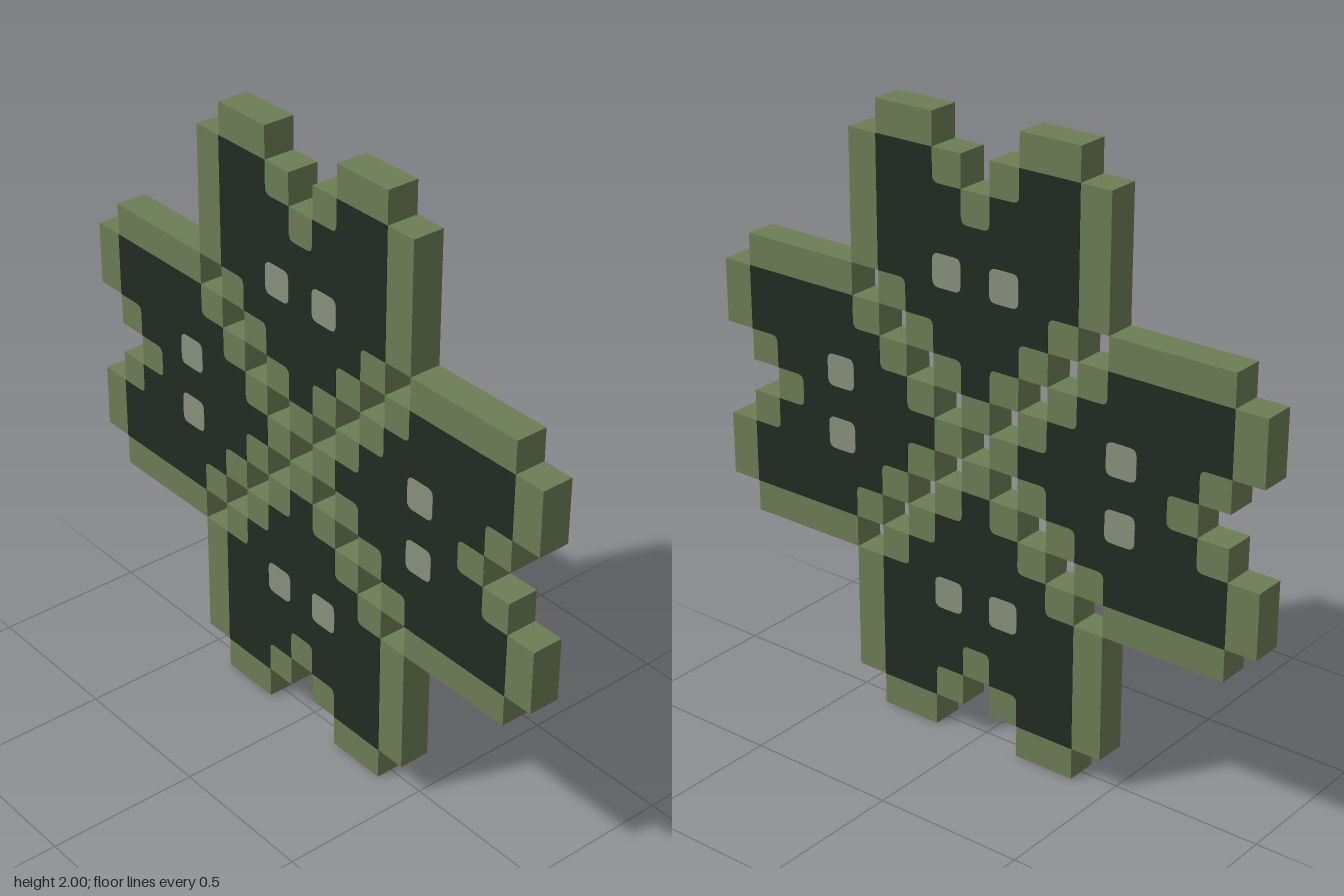
import * as THREE from 'three';

const CELL = 2 / 19; // the design sits on a 19 x 19 grid of square cells
const R = 0.22;      // softened inner corners, in cells

const mat = (name, color) => Object.assign(new THREE.MeshStandardMaterial({ color }), { name });

// Half outlines in cells (right side, bottom to top); a third value rounds that corner
const BODY = [
  [0.5, 0.5], [0.5, 1.5], [1.5, 1.5], [1.5, 2.5], [2.5, 2.5], [2.5, 3.5], [3.5, 3.5], [3.5, 4.5],
  [4.5, 4.5], [4.5, 8.5], [3.5, 8.5], [3.5, 9.5], [1.5, 9.5], [1.5, 8.5], [0.5, 8.5], [0.5, 7.5],
];
const INNER = [
  [0.5, 1.5], [0.5, 2.5, R], [1.5, 2.5], [1.5, 3.5, R], [2.5, 3.5], [2.5, 4.5, R], [3.5, 4.5],
  [3.5, 8.5], [1.5, 8.5], [1.5, 7.5, R], [0.5, 7.5], [0.5, 6.5, R],
];
const SPOT = [[0.5, 4.5, R], [1.5, 4.5, R], [1.5, 5.5, R], [0.5, 5.5, R]];

const mirror = (pts) => pts.map(([x, y, r]) => [-x, y, r]).reverse();

// Closed shape from corner points, rounding the flagged corners
function outline(pts) {
  const shape = new THREE.Shape();
  const v = pts.map(([x, y]) => new THREE.Vector2(x, y).multiplyScalar(CELL));
  pts.forEach(([, , r], i) => {
    const p = v[i];
    const prev = v[(i + v.length - 1) % v.length];
    const next = v[(i + 1) % v.length];
    const toward = (q) => q.clone().sub(p).setLength((r || 0) * CELL).add(p);
    const a = r ? toward(prev) : p;
    if (i === 0) shape.moveTo(a.x, a.y);
    else shape.lineTo(a.x, a.y);
    if (r) {
      const b = toward(next);
      shape.quadraticCurveTo(p.x, p.y, b.x, b.y);
    }
  });
  shape.closePath();
  return shape;
}

// Extrudes a shape along x, centred on the given x
function slab(shapes, depth, x) {
  const geo = new THREE.ExtrudeGeometry(shapes, { depth, bevelEnabled: false, curveSegments: 4 });
  return geo.translate(0, 0, -depth / 2).rotateY(Math.PI / 2).translate(x, 0, 0);
}

export function createModel() {
  const model = new THREE.Group();
  model.name = 'fourPetalEmblem';
  const rim = mat('mossGreen', 0x6c7d55);
  const dark = mat('darkGreen', 0x222b23);
  const pale = mat('paleGreyGreen', 0x8a917c);

  const bodyGeo = slab(outline([...BODY, ...mirror(BODY)]), CELL, 0);
  const innerShape = outline([...INNER, ...mirror(INNER)]);
  const spotShapes = [outline(SPOT), outline(mirror(SPOT))];

  for (let k = 0; k < 4; k++) {
    const petal = new THREE.Group();
    petal.name = 'petal' + (k + 1);
    petal.position.y = 1;
    petal.rotation.x = (k * Math.PI) / 2;
    const add = (name, geo, material) => {
      const mesh = new THREE.Mesh(geo, material);
      mesh.name = name;
      petal.add(mesh);
    };
    add('petalBody', bodyGeo, rim);
    // Painted faces on both sides
    for (const side of [1, -1]) {
      const label = side > 0 ? 'Left' : 'Right';
      add('darkFace' + label, slab(innerShape, 0.002, side * (CELL / 2 + 0.0005)), dark);
      add('paleSpots' + label, slab(spotShapes, 0.002, side * (CELL / 2 + 0.002)), pale);
    }
    model.add(petal);
  }
  return model;
}
